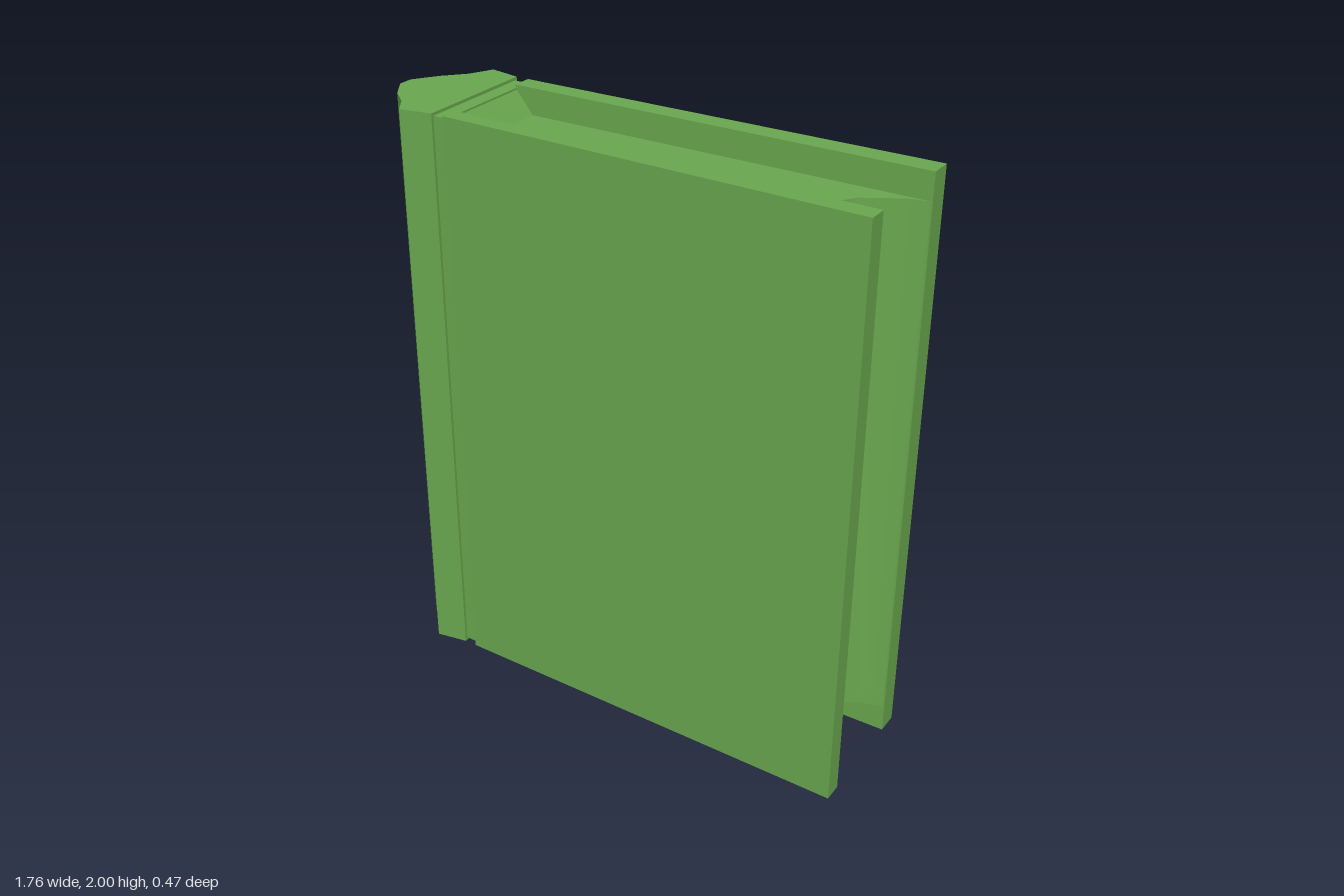
import * as THREE from 'three';
import { toCreasedNormals } from 'three/addons/utils/BufferGeometryUtils.js';

const green = new THREE.MeshStandardMaterial({ color: 0x6aa84f });

// Extrudes a floor-plan outline of [x, z] points from y0 up to y1
function upright(name, plan, y0, y1, crease = 0.3) {
  const shape = new THREE.Shape(plan.map(([x, z]) => new THREE.Vector2(x, -z)));
  const geo = new THREE.ExtrudeGeometry(shape, { depth: y1 - y0, bevelEnabled: false });
  geo.rotateX(-Math.PI / 2);
  geo.translate(0, y0, 0);
  const mesh = new THREE.Mesh(toCreasedNormals(geo, crease), green);
  mesh.name = name;
  return mesh;
}

export function createModel() {
  const book = new THREE.Group();
  book.name = 'book';

  // Rounded spine with flat shoulders
  book.add(upright('spine', [
    [-0.61, -0.22], [-0.72, -0.24], [-0.76, -0.16], [-0.825, -0.09], [-0.88, -0.01],
    [-0.88, 0.04], [-0.825, 0.12], [-0.765, 0.17], [-0.72, 0.235], [-0.61, 0.215],
  ], 0, 2, 0.8));

  // Recessed hinge groove between spine and covers
  book.add(upright('hinge', [
    [-0.615, -0.21], [-0.615, 0.205], [-0.56, 0.205], [-0.56, -0.21],
  ], 0.01, 1.99));

  // Covers, spreading slightly toward the open edge
  book.add(upright('frontCover', [
    [-0.565, 0.155], [-0.565, 0.215], [0.88, 0.235], [0.88, 0.17],
  ], 0, 2));
  book.add(upright('backCover', [
    [-0.565, -0.152], [-0.565, -0.22], [0.88, -0.24], [0.88, -0.165],
  ], 0, 2));

  // Page block with a hollow fore edge
  book.add(upright('pages', [
    [-0.565, -0.154], [-0.565, 0.157], [0.88, 0.171], [0.815, 0.155], [0.68, 0.08],
    [0.64, -0.01], [0.69, -0.08], [0.81, -0.15], [0.88, -0.166],
  ], 0.095, 1.91, 1.1));

  // Binding wedge sloping from the hinge down to the pages, at both ends
  const profile = [[-0.565, 0.01], [-0.5, 0.095], [-0.5, 1.91], [-0.565, 1.99]];
  const wedgeShape = new THREE.Shape(profile.map(([x, y]) => new THREE.Vector2(x, y)));
  const wedgeGeo = new THREE.ExtrudeGeometry(wedgeShape, { depth: 0.31, bevelEnabled: false });
  wedgeGeo.translate(0, 0, -0.154);
  const wedge = new THREE.Mesh(wedgeGeo, green);
  wedge.name = 'binding';
  book.add(wedge);

  return book;
}
